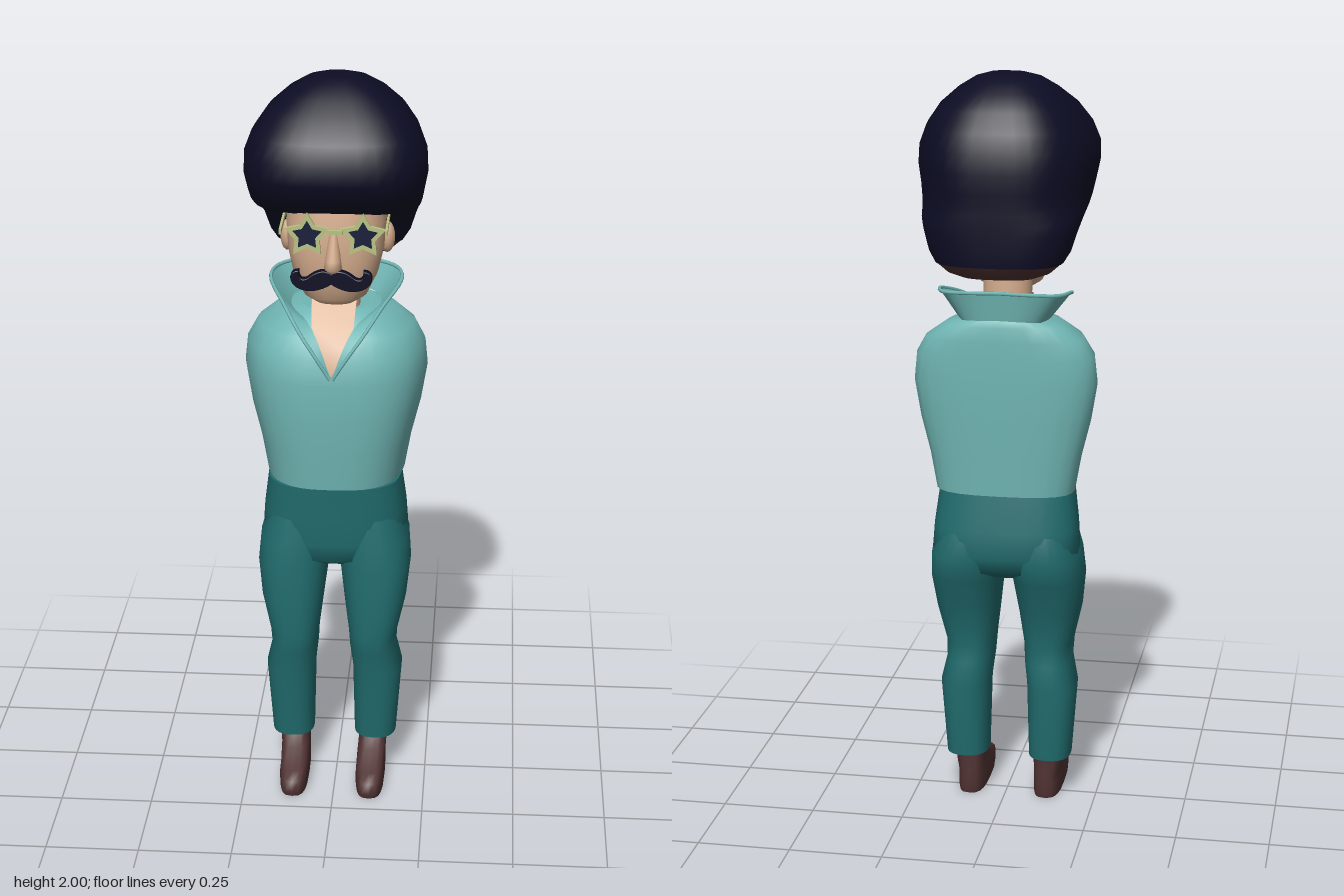
import * as THREE from 'three';

const mat = (name, color, side = THREE.FrontSide) => {
  const m = new THREE.MeshStandardMaterial({ color, side });
  m.name = name;
  return m;
};

// Smooth body through stacked rounded sections: [y, centreX, halfWidth, zFront, zBack].
// power < 1 makes sections boxier; skew > 0 widens the front, < 0 the back.
function loft(rows, { power = 0.8, skew = 0, n = 28 } = {}) {
  const pos = [], idx = [];
  const pow = v => Math.sign(v) * Math.abs(v) ** power;
  const ring = ([y, cx, hw, zf, zb]) => {
    for (let i = 0; i < n; i++) {
      const t = (i / n) * Math.PI * 2, s = pow(Math.sin(t));
      pos.push(cx + hw * pow(Math.cos(t)) * (1 + skew * s), y, (zf + zb) / 2 + ((zf - zb) / 2) * s);
    }
  };
  rows.forEach(ring);
  for (let j = 0; j < rows.length - 1; j++) {
    for (let i = 0; i < n; i++) {
      const k = (i + 1) % n, a = j * n + i, b = j * n + k, c = a + n, d = b + n;
      idx.push(a, c, b, b, c, d);
    }
  }
  // end caps with their own vertices so the edge stays sharp
  [rows[0], rows[rows.length - 1]].forEach((r, e) => {
    const o = pos.length / 3;
    ring(r);
    pos.push(r[1], r[0], (r[3] + r[4]) / 2);
    for (let i = 0; i < n; i++) {
      const k = (i + 1) % n;
      idx.push(o + n, o + (e ? k : i), o + (e ? i : k));
    }
  });
  return finish(pos, idx);
}

function finish(pos, idx) {
  const g = new THREE.BufferGeometry();
  g.setAttribute('position', new THREE.Float32BufferAttribute(pos, 3));
  g.setIndex(idx);
  g.computeVertexNormals();
  return g;
}

// Open sheet between two point rows of equal length.
function sheet(a, b) {
  const pos = [], idx = [];
  a.forEach((p, i) => {
    pos.push(...p.toArray(), ...b[i].toArray());
    if (i) idx.push(2 * i - 2, 2 * i, 2 * i - 1, 2 * i - 1, 2 * i, 2 * i + 1);
  });
  return finish(pos, idx);
}

function starPoints(r, inner = 0.55) {
  return Array.from({ length: 10 }, (_, i) => {
    const t = Math.PI / 2 + (i * Math.PI) / 5, q = i % 2 ? r * inner : r;
    return new THREE.Vector2(Math.cos(t) * q, Math.sin(t) * q);
  });
}

export function createModel() {
  const hair = mat('hair navy', 0x0c0c24), skin = mat('skin', 0xd2aa8b, THREE.DoubleSide);
  const shirt = mat('shirt aqua', 0x70b6b4), collarMat = mat('collar aqua', 0x70b6b4, THREE.DoubleSide);
  const pants = mat('trouser teal', 0x216c6e), brown = mat('shoe brown', 0x503232);
  const gold = mat('glasses frame', 0xb9c283), lens = mat('lens navy', 0x161c3a);

  const model = new THREE.Group();
  const body = new THREE.Group(), head = new THREE.Group(), glasses = new THREE.Group();
  body.name = 'body'; head.name = 'head'; glasses.name = 'starGlasses';
  body.position.x = -0.007;
  model.add(body, head);
  head.add(glasses);
  const add = (parent, name, geo, m, x = 0, y = 0, z = 0) => {
    const mesh = new THREE.Mesh(geo, m);
    mesh.name = name;
    mesh.position.set(x, y, z);
    parent.add(mesh);
    return mesh;
  };

  // torso with broad rounded shoulders
  add(body, 'shirt', loft([
    [0.9, 0, 0.18, 0.12, -0.155], [1.0, 0, 0.197, 0.13, -0.16], [1.1, 0, 0.221, 0.138, -0.166],
    [1.2, 0, 0.237, 0.138, -0.17], [1.27, 0, 0.23, 0.128, -0.17], [1.32, 0, 0.203, 0.1, -0.17],
    [1.36, 0, 0.15, 0.06, -0.168], [1.378, 0, 0.1, 0.03, -0.16],
  ], { power: 0.72, skew: -0.16 }), shirt);

  // trousers
  add(body, 'hips', loft([
    [0.655, 0, 0.1, 0.06, -0.1], [0.68, 0, 0.165, 0.1, -0.15], [0.73, 0, 0.198, 0.11, -0.178],
    [0.8, 0, 0.193, 0.113, -0.172], [0.9, 0, 0.18, 0.12, -0.155],
  ], { power: 0.72, skew: -0.05 }), pants);
  for (const s of [1, -1]) {
    const side = s > 0 ? 'left' : 'right';
    add(body, side + 'Leg', loft([
      [0.12, s * 0.115, 0.058, 0.065, -0.08], [0.33, s * 0.12, 0.068, 0.09, -0.1],
      [0.4, s * 0.108, 0.064, 0.107, -0.095], [0.45, s * 0.108, 0.067, 0.116, -0.086],
      [0.55, s * 0.113, 0.085, 0.118, -0.11], [0.65, s * 0.112, 0.097, 0.115, -0.15],
      [0.72, s * 0.105, 0.098, 0.11, -0.178], [0.8, s * 0.09, 0.09, 0.1, -0.16],
    ], { power: 0.8 }), pants);
    // shoes with a low toe
    add(body, side + 'Shoe', loft([
      [0, s * 0.106, 0.038, 0.195, -0.06], [0.015, s * 0.106, 0.04, 0.2, -0.063],
      [0.045, s * 0.106, 0.04, 0.198, -0.063], [0.062, s * 0.106, 0.039, 0.165, -0.062],
      [0.09, s * 0.108, 0.039, 0.085, -0.06], [0.12, s * 0.11, 0.04, 0.06, -0.06],
      [0.15, s * 0.11, 0.04, 0.05, -0.06],
    ], { power: 0.65, n: 20 }), brown);
  }

  // open neckline and neck
  const v = (x, y, z) => new THREE.Vector3(x, y, z);
  const neckline = [[0.002, 1.232, 0.143], [0.03, 1.3, 0.128], [0.055, 1.35, 0.088], [0.06, 1.42, 0.012]];
  add(body, 'openChest', sheet(neckline.map(p => v(-p[0], p[1], p[2])), neckline.map(p => v(...p))), skin);
  add(body, 'neck', loft([
    [1.33, 0, 0.068, 0.05, -0.1], [1.42, 0, 0.064, 0.025, -0.1], [1.56, 0, 0.066, 0.03, -0.09],
  ], { power: 0.95 }), skin);

  // flared collar running from the V, round the back and forward again
  const run = half => {
    const back = half.slice(1).reverse().map(p => v(-p[0], p[1], p[2]));
    return new THREE.CatmullRomCurve3([...back, ...half.map(p => v(...p))].slice(0), false, 'centripetal');
  };
  const rim = [[0, 1.455, -0.18], [0.075, 1.453, -0.178], [0.15, 1.447, -0.145], [0.174, 1.44, -0.06],
    [0.125, 1.395, 0.065], [0.08, 1.335, 0.118], [0.042, 1.285, 0.141], [0.003, 1.225, 0.146]];
  const base = [[0, 1.38, -0.169], [0.06, 1.378, -0.166], [0.105, 1.372, -0.135], [0.11, 1.36, -0.04],
    [0.07, 1.36, 0.068], [0.05, 1.34, 0.1], [0.026, 1.295, 0.13], [0.002, 1.225, 0.142]];
  const rimPts = run(rim).getPoints(56), basePts = run(base).getPoints(56);
  add(body, 'collar', sheet(basePts, rimPts), collarMat);
  const hem = new THREE.TubeGeometry(run(rim), 56, 0.005, 6);
  add(body, 'collarHem', hem, shirt);

  // face
  add(head, 'face', loft([
    [1.425, 0, 0.052, 0.12, 0.02], [1.445, 0, 0.083, 0.145, -0.02], [1.5, 0, 0.11, 0.16, -0.05],
    [1.56, 0, 0.124, 0.164, -0.08], [1.64, 0, 0.13, 0.163, -0.1], [1.73, 0, 0.12, 0.14, -0.1],
  ], { power: 0.82 }), skin);
  add(head, 'nose', loft([
    [1.525, 0, 0.016, 0.178, 0.14], [1.54, 0, 0.023, 0.197, 0.14], [1.56, 0, 0.02, 0.19, 0.14],
    [1.63, 0, 0.011, 0.168, 0.14],
  ], { power: 1, n: 14 }), skin);
  for (const s of [1, -1]) {
    const ear = add(head, s > 0 ? 'leftEar' : 'rightEar', new THREE.SphereGeometry(1, 14, 10), skin, s * 0.13, 1.572, -0.005);
    ear.scale.set(0.02, 0.042, 0.026);
  }

  // big rounded hair: overhanging fringe, long at the back
  add(head, 'hair', loft([
    [1.53, 0, 0.165, -0.06, -0.232], [1.56, 0, 0.183, -0.045, -0.236], [1.61, 0, 0.198, -0.025, -0.237],
    [1.64, 0, 0.207, 0.02, -0.238], [1.665, 0, 0.213, 0.12, -0.238], [1.69, 0, 0.218, 0.18, -0.238],
    [1.72, 0, 0.223, 0.213, -0.239], [1.77, 0, 0.232, 0.237, -0.24], [1.82, 0, 0.23, 0.237, -0.232],
    [1.87, 0, 0.211, 0.215, -0.217], [1.92, 0, 0.176, 0.17, -0.186], [1.96, 0, 0.13, 0.12, -0.142],
    [1.988, 0, 0.085, 0.08, -0.09], [2, 0, 0.045, 0.04, -0.05],
  ], { power: 0.74, skew: 0.1, n: 36 }), hair);
  add(head, 'hairUnderside', loft([
    [1.492, 0, 0.1, -0.085, -0.19], [1.505, 0, 0.135, -0.07, -0.212], [1.531, 0, 0.164, -0.061, -0.231],
  ], { power: 0.74, skew: 0.1, n: 36 }), brown);

  // handlebar moustache
  const m = new THREE.Shape();
  m.moveTo(0, 0.014);
  m.bezierCurveTo(0.02, 0.03, 0.04, 0.018, 0.058, 0.004);
  m.bezierCurveTo(0.072, -0.006, 0.086, 0.0, 0.085, 0.022);
  m.bezierCurveTo(0.105, 0.022, 0.108, -0.004, 0.088, -0.018);
  m.bezierCurveTo(0.06, -0.036, 0.025, -0.026, 0, -0.008);
  m.bezierCurveTo(-0.025, -0.026, -0.06, -0.036, -0.088, -0.018);
  m.bezierCurveTo(-0.108, -0.004, -0.105, 0.022, -0.085, 0.022);
  m.bezierCurveTo(-0.086, 0.0, -0.072, -0.006, -0.058, 0.004);
  m.bezierCurveTo(-0.04, 0.018, -0.02, 0.03, 0, 0.014);
  add(head, 'moustache', new THREE.ExtrudeGeometry(m, {
    depth: 0.016, bevelThickness: 0.004, bevelSize: 0.003, bevelSegments: 2, curveSegments: 8,
  }), hair, -0.004, 1.511, 0.164);

  // star-shaped glasses with temples
  const frame = new THREE.Shape(starPoints(0.06));
  frame.holes.push(new THREE.Path(starPoints(0.04)));
  const frameGeo = new THREE.ExtrudeGeometry(frame, { depth: 0.012, bevelEnabled: false });
  const lensGeo = new THREE.ExtrudeGeometry(new THREE.Shape(starPoints(0.041)), { depth: 0.006, bevelEnabled: false });
  for (const s of [1, -1]) {
    const x = 0.005 + s * 0.071;
    add(glasses, 'starFrame', frameGeo, gold, x, 1.625, 0.16);
    add(glasses, 'starLens', lensGeo, lens, x, 1.625, 0.163);
    const temple = add(glasses, 'temple', new THREE.BoxGeometry(0.006, 0.014, 0.19), gold, s * 0.135, 1.638, 0.073);
    temple.rotation.x = 0.05;
  }
  add(glasses, 'bridge', new THREE.BoxGeometry(0.04, 0.01, 0.01), gold, 0.005, 1.635, 0.17);

  return model;
}
